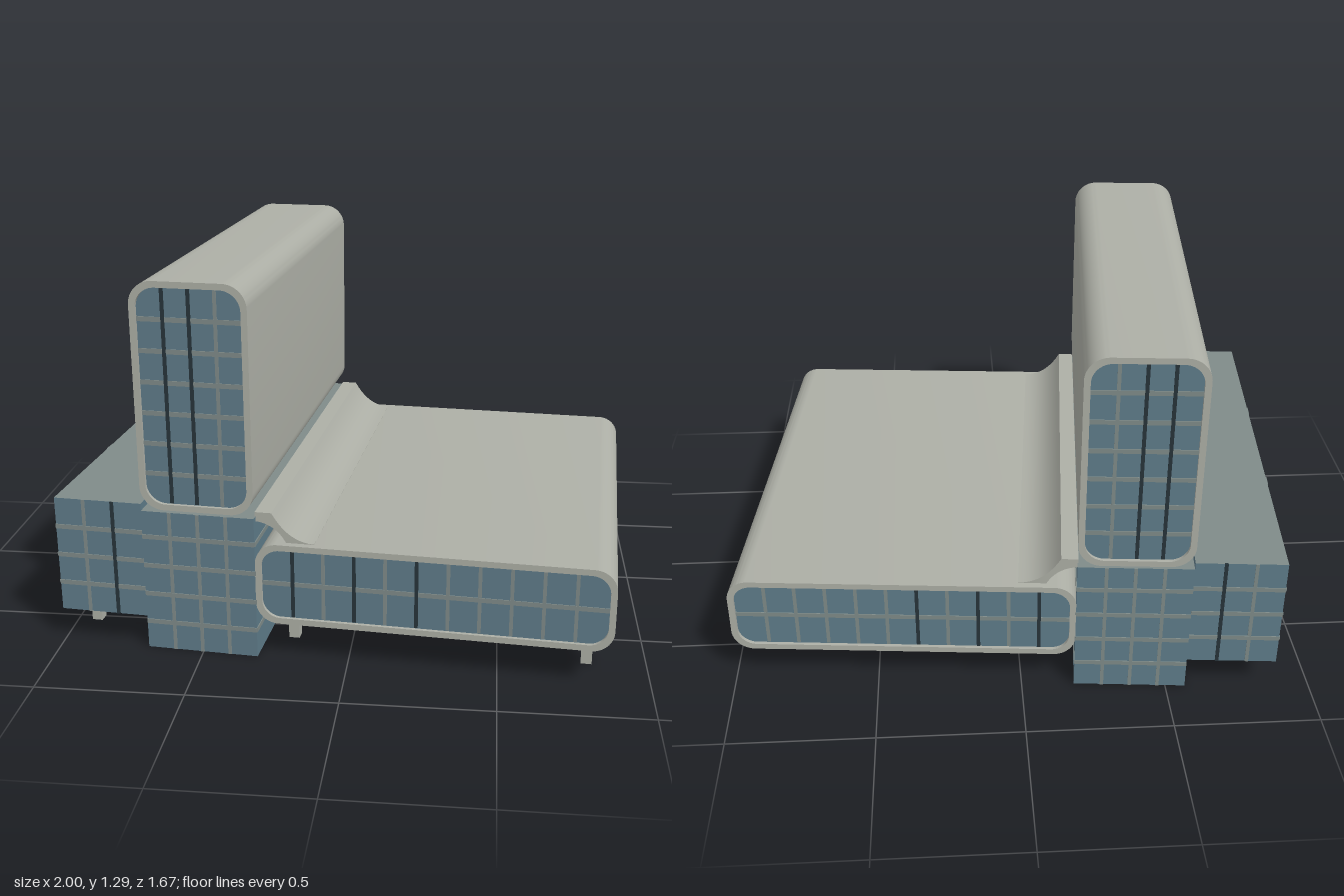
import * as THREE from 'three';
import { toCreasedNormals } from 'three/addons/utils/BufferGeometryUtils.js';

const mat = (name, color, side = THREE.FrontSide) => {
  const m = new THREE.MeshStandardMaterial({ color, side });
  m.name = name;
  return m;
};

export function createModel() {
  const shellMat = mat('pale concrete', 0xadafa6);
  const glassMat = mat('blue glass', 0x5f7c8a);
  const trimMat = mat('grey trim', 0x7f8b89);
  const slitMat = mat('dark seam', 0x27343a);

  const D = 1.514; // depth shared by all volumes
  const model = new THREE.Group();
  model.name = 'building';
  model.rotation.y = -0.084; // the whole block is turned slightly on its site

  const add = (parent, name, geo, material, x = 0, y = 0, z = 0) => {
    const mesh = new THREE.Mesh(geo, material);
    mesh.name = name;
    mesh.position.set(x, y, z);
    parent.add(mesh);
    return mesh;
  };

  const trace = (p, x0, y0, x1, y1, r) => {
    p.moveTo(x0 + r, y0);
    p.lineTo(x1 - r, y0);
    p.absarc(x1 - r, y0 + r, r, -Math.PI / 2, 0);
    p.lineTo(x1, y1 - r);
    p.absarc(x1 - r, y1 - r, r, 0, Math.PI / 2);
    p.lineTo(x0 + r, y1);
    p.absarc(x0 + r, y1 - r, r, Math.PI / 2, Math.PI);
    p.lineTo(x0, y0 + r);
    p.absarc(x0 + r, y0 + r, r, Math.PI, Math.PI * 1.5);
    return p;
  };

  // Grid of glazing bars on a w x h wall, centred and facing +z.
  // rows: heights of the horizontal bars; slits: column lines left as dark seams.
  const bars = (name, w, h, cols, rows, { slits = [], vBar = 0.012, hBar = 0.016 } = {}) => {
    const g = new THREE.Group();
    g.name = name;
    for (const y of rows)
      add(g, 'horizontalBar', new THREE.BoxGeometry(w, hBar, 0.006), trimMat, 0, y, 0);
    for (let i = 1; i < cols; i++) {
      const dark = slits.includes(i);
      add(g, dark ? 'seam' : 'verticalBar',
        new THREE.BoxGeometry(vBar, h, dark ? 0.008 : 0.005),
        dark ? slitMat : trimMat, -w / 2 + (w * i) / cols, 0, 0);
    }
    return g;
  };
  const place = (g, x, y, z, ry) => {
    g.position.set(x, y, z);
    g.rotation.y = ry;
    model.add(g);
  };
  const evenRows = (h, n) => Array.from({ length: n - 1 }, (_, i) => -h / 2 + (h * (i + 1)) / n);

  // Bars on the front and the back of a volume
  const endBars = (name, x, y, z, w, h, cols, rows, slits) => {
    place(bars(name + 'FrontBars', w, h, cols, rows, { slits }), x, y, z, 0);
    place(bars(name + 'BackBars', w, h, cols, rows,
      { slits: slits.map((i) => cols - i) }), x, y, -z, Math.PI);
  };

  // Rounded concrete sleeve with recessed glazing at both ends
  const sleeve = (name, x0, y0, x1, y1, r, cols, rowCount, slits) => {
    const t = 0.021;
    const shape = trace(new THREE.Shape(), x0, y0, x1, y1, r);
    const inner = [x0 + t, y0 + t, x1 - t, y1 - t, r - t * 0.6];
    shape.holes.push(trace(new THREE.Path(), ...inner));
    const geo = new THREE.ExtrudeGeometry(shape, { depth: D, bevelEnabled: false, curveSegments: 8 });
    geo.translate(0, 0, -D / 2);
    add(model, name + 'Shell', toCreasedNormals(geo, 0.6), shellMat);

    const glass = new THREE.ExtrudeGeometry(trace(new THREE.Shape(), ...inner),
      { depth: D - 0.024, bevelEnabled: false, curveSegments: 8 });
    glass.translate(0, 0, -D / 2 + 0.012);
    add(model, name + 'Glazing', glass, glassMat);

    const w = x1 - x0 - 2 * t, h = y1 - y0 - 2 * t;
    endBars(name, (x0 + x1) / 2, (y0 + y1) / 2, D / 2 - 0.012, w, h - 0.006, cols,
      evenRows(h, rowCount), slits);
  };

  // Glass box with grey roof and underside
  const glassBox = (name, x0, y0, x1, y1) => add(model, name,
    new THREE.BoxGeometry(x1 - x0, y1 - y0, D),
    [glassMat, glassMat, trimMat, trimMat, glassMat, glassMat],
    (x0 + x1) / 2, (y0 + y1) / 2, 0);

  // Upper tower and low wing
  sleeve('tower', -0.634, 0.515, -0.247, 1.29, 0.08, 4, 7, [1, 2]);
  sleeve('wing', -0.247, 0.132, 0.937, 0.42, 0.075, 11, 2, [1, 3, 5]);

  // Base under the tower
  glassBox('base', -0.634, 0, -0.247, 0.507);
  const baseRows = [0.1, 0.205, 0.31, 0.415].map((y) => y - 0.2535);
  endBars('base', -0.4405, 0.2535, D / 2, 0.387, 0.507, 4, baseRows, []);
  place(bars('baseSideBars', D, 0.507, 4, baseRows, { vBar: 0.045 }), -0.247, 0.2535, 0, Math.PI / 2);

  // Raised side annex
  glassBox('annex', -0.94, 0.118, -0.634, 0.532);
  const annexRows = evenRows(0.414, 4);
  endBars('annex', -0.787, 0.325, D / 2, 0.306, 0.414, 3, annexRows, [2]);
  place(bars('annexSideBars', D, 0.414, 3, annexRows, { vBar: 0.045, hBar: 0.012 }),
    -0.94, 0.325, 0, -Math.PI / 2);

  // Curved canopy joining tower and wing
  const curve = new THREE.Shape();
  curve.moveTo(-0.25, 0.49);
  curve.quadraticCurveTo(-0.175, 0.485, -0.14, 0.41);
  curve.lineTo(-0.05, 0.41);
  curve.lineTo(-0.05, 0.421);
  curve.bezierCurveTo(-0.11, 0.423, -0.155, 0.455, -0.193, 0.522);
  curve.lineTo(-0.25, 0.522);
  const canopy = new THREE.ExtrudeGeometry(curve, { depth: 1.466, bevelEnabled: false, curveSegments: 10 });
  canopy.translate(0, 0, -0.733);
  add(model, 'canopy', toCreasedNormals(canopy, 0.6), shellMat);

  // Legs under the wing and the annex
  for (const [x, top, name] of [[0.853, 0.14, 'wingLeg'], [-0.155, 0.14, 'wingLeg'], [-0.883, 0.122, 'annexLeg']])
    for (const z of [0.588, -0.588])
      add(model, name, new THREE.BoxGeometry(0.037, top, 0.037), shellMat, x, top / 2, z);

  const root = new THREE.Group();
  root.name = 'model';
  root.add(model);
  return root;
}
